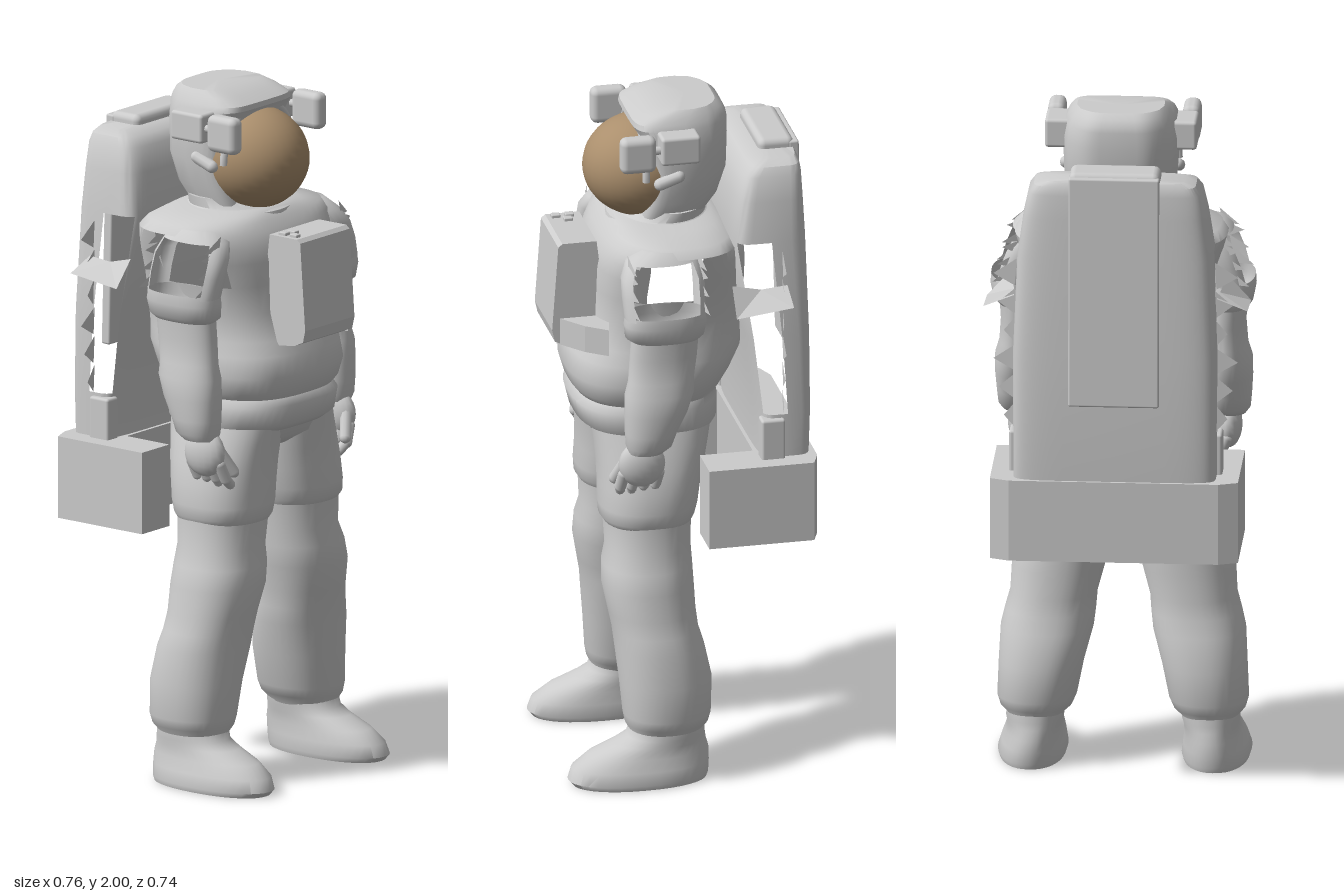
import * as THREE from 'three';
import { toCreasedNormals } from 'three/addons/utils/BufferGeometryUtils.js';
import { RoundedBoxGeometry } from 'three/addons/geometries/RoundedBoxGeometry.js';

const mat = (name, color, extra = {}) => {
  const m = new THREE.MeshStandardMaterial({ color, ...extra });
  m.name = name;
  return m;
};

// Loft of horizontal superellipse rings. Rows rise: [y, centreX, radiusX, zBack, zFront].
// skip(y, xNorm, zNorm) leaves a face out; backTaper narrows the rear of each ring.
function loft(rows, { side = 1, power = 2.4, n = 36, bottom = true, top = true, skip = null, crease = 0.9, backTaper = 0 } = {}) {
  const pos = [], idx = [], unit = [];
  const e = 2 / power;
  for (let i = 0; i < n; i++) {
    const a = (i / n) * Math.PI * 2, c = Math.cos(a), s = Math.sin(a);
    const v = Math.sign(s) * Math.abs(s) ** e;
    unit.push([Math.sign(c) * Math.abs(c) ** e * (1 - backTaper * Math.max(0, -v - 0.3)), v]);
  }
  for (const [y, cx, rx, zb, zf] of rows)
    for (const [u, v] of unit) pos.push(cx * side + u * rx, y, (zb + zf) / 2 + (v * (zf - zb)) / 2);
  for (let r = 0; r < rows.length - 1; r++)
    for (let i = 0; i < n; i++) {
      const j = (i + 1) % n, p = r * n + i, q = r * n + j;
      const mid = (rows[r][0] + rows[r + 1][0]) / 2;
      if (skip && skip(mid, (unit[i][0] + unit[j][0]) / 2, (unit[i][1] + unit[j][1]) / 2)) continue;
      idx.push(p, p + n, q, q, p + n, q + n);
    }
  const cap = (r, up) => {
    const [y, cx, , zb, zf] = rows[r], c = pos.length / 3;
    pos.push(cx * side, y, (zb + zf) / 2);
    for (let i = 0; i < n; i++) {
      const p = r * n + i, q = r * n + ((i + 1) % n);
      idx.push(c, up ? q : p, up ? p : q);
    }
  };
  if (bottom) cap(0, false);
  if (top) cap(rows.length - 1, true);
  const g = new THREE.BufferGeometry();
  g.setAttribute('position', new THREE.Float32BufferAttribute(pos, 3));
  g.setIndex(idx);
  return toCreasedNormals(g, crease);
}

// Extrusion of a 2D outline along z
const prism = (pts, depth) => new THREE.ExtrudeGeometry(
  new THREE.Shape(pts.map(p => new THREE.Vector2(...p))), { depth, bevelEnabled: false });

export function createModel() {
  const model = new THREE.Group();
  model.name = 'astronaut';
  const suit = mat('suit grey', 0xcccccc);
  const torn = mat('torn suit grey', 0xcccccc, { side: THREE.DoubleSide });
  const gold = mat('visor bronze', 0xab8f6d);

  const add = (name, geo, material = suit, x = 0, y = 0, z = 0) => {
    const m = new THREE.Mesh(geo, material);
    m.name = name;
    m.position.set(x, y, z);
    model.add(m);
    return m;
  };
  const box = (name, w, h, d, x, y, z, r = 0.01) =>
    add(name, new RoundedBoxGeometry(w, h, d, 2, r), suit, x, y, z);
  const rod = (name, a, b, r) => {
    const from = new THREE.Vector3(...a), to = new THREE.Vector3(...b);
    const dir = to.clone().sub(from);
    const m = add(name, new THREE.CapsuleGeometry(r, dir.length(), 4, 10), suit, ...from.add(to).multiplyScalar(0.5).toArray());
    m.quaternion.setFromUnitVectors(new THREE.Vector3(0, 1, 0), dir.normalize());
  };

  // Torso with open arm holes
  add('torso', loft([
    [1.03, 0, 0.22, -0.11, 0.26], [1.05, 0, 0.236, -0.12, 0.285], [1.11, 0, 0.232, -0.12, 0.3],
    [1.13, 0, 0.222, -0.12, 0.285], [1.15, 0, 0.238, -0.13, 0.3], [1.2, 0, 0.25, -0.16, 0.315],
    [1.26, 0, 0.247, -0.19, 0.305], [1.3, 0, 0.235, -0.195, 0.28], [1.38, 0, 0.238, -0.2, 0.255],
    [1.46, 0, 0.255, -0.2, 0.25], [1.53, 0, 0.28, -0.2, 0.245], [1.575, 0, 0.295, -0.195, 0.235],
    [1.61, 0, 0.305, -0.185, 0.215], [1.635, 0, 0.285, -0.16, 0.195], [1.65, 0, 0.19, -0.13, 0.18],
    [1.66, 0, 0.15, -0.11, 0.165],
  ], { power: 2.7, n: 48, skip: (y, u, v) => y > 1.46 && y < 1.61 && Math.abs(u) > 0.82 && v > -0.2 && v < (y > 1.58 ? 0.55 : 0.75) }));

  // Hips
  add('hips', loft([
    [0.965, 0, 0.21, -0.06, 0.19], [1.0, 0, 0.24, -0.09, 0.24], [1.05, 0, 0.23, -0.11, 0.26],
  ], { power: 2.6 }));

  // Helmet, neck ring, visor and brow
  add('neckRing', loft([
    [1.635, 0, 0.165, -0.12, 0.19], [1.652, 0, 0.165, -0.12, 0.185], [1.662, 0, 0.15, -0.1, 0.15],
    [1.69, 0, 0.15, -0.1, 0.12],
  ], { power: 2 }));
  add('helmet', loft([
    [1.67, 0, 0.135, -0.09, 0.11], [1.72, 0, 0.15, -0.125, 0.1], [1.8, 0, 0.162, -0.15, 0.085],
    [1.9, 0, 0.166, -0.153, 0.1], [1.95, 0, 0.16, -0.153, 0.132], [1.965, 0, 0.152, -0.15, 0.13],
    [1.985, 0, 0.14, -0.14, 0.09], [2.0, 0, 0.125, -0.12, 0.04],
  ], { power: 5, crease: 0.6, backTaper: 0.5 }));
  add('visor', new THREE.SphereGeometry(1, 32, 24), gold, 0, 1.794, 0.087).scale.set(0.154, 0.15, 0.167);
  add('visorRim', new THREE.TorusGeometry(0.157, 0.011, 8, 36, Math.PI), suit, 0, 1.8, 0.105);

  // Chest control box, its side wedge and switches
  const chest = add('chestBox', prism([[-0.24, 1.61], [-0.34, 1.61], [-0.352, 1.6], [-0.37, 1.345],
    [-0.362, 1.31], [-0.33, 1.295], [-0.2, 1.28]].reverse(), 0.225), suit, -0.115, 0, 0);
  chest.rotation.y = Math.PI / 2;
  const wedge = add('chestBoxWedge', prism([[0.1, -0.355], [0.18, -0.29], [0.225, -0.23], [0.1, -0.2]].reverse(), 0.08), suit, 0, 1.3, 0);
  wedge.rotation.x = -Math.PI / 2;
  for (const [x, z] of [[-0.092, 0.275], [-0.092, 0.315], [-0.062, 0.285]])
    box('chestSwitch', 0.022, 0.014, 0.026, x, 1.612, z, 0.003);

  // Backpack shell with torn-open sides
  add('backpack', loft([
    [0.95, 0, 0.29, -0.355, -0.2], [1.1, 0, 0.29, -0.36, -0.2], [1.33, 0, 0.292, -0.358, -0.17],
    [1.63, 0, 0.28, -0.35, -0.12], [1.75, 0, 0.263, -0.345, -0.142], [1.82, 0, 0.248, -0.342, -0.16],
    [1.845, 0, 0.232, -0.338, -0.185], [1.858, 0, 0.2, -0.33, -0.22],
  ], { power: 6, n: 48, crease: 0.6, skip: (y, u, v) => y > 1.1 && y < 1.63 && Math.abs(u) > 0.85 && v > 0 && v < 0.85 }));
  box('backpackPanel', 0.26, 0.68, 0.03, 0, 1.535, -0.342, 0.006).rotation.x = 0.025;
  box('backpackTop', 0.26, 0.06, 0.105, 0, 1.856, -0.283, 0.02);

  // Lower pack: U-shaped block with chamfered rear corners and two forward arms
  const half = [[0.23, 0.19], [0.23, 0.035], [0.355, 0.035], [0.355, 0.342], [0.3, 0.363]];
  const lower = add('lowerPack', prism([...half, ...half.map(([x, y]) => [-x, y]).reverse()], 0.24), suit, 0, 0.73, 0);
  lower.rotation.x = -Math.PI / 2;

  for (const s of [1, -1]) {
    box('packStrut', 0.05, 0.14, 0.07, s * 0.28, 1.02, -0.235, 0.008);

    // Ear blocks, lamps and visor pivots
    box('earBlock', 0.075, 0.085, 0.115, s * 0.18, 1.91, 0.015);
    box('lamp', 0.05, 0.108, 0.105, s * 0.193, 1.903, 0.138, 0.02);
    rod('lampStem', [s * 0.193, 1.91, 0.06], [s * 0.193, 1.91, 0.1], 0.012);
    rod('visorPivot', [s * 0.16, 1.79, 0.065], [s * 0.16, 1.81, 0.01], 0.018);

    // Legs
    add('shortsLeg', loft([
      [0.77, 0.157, 0.126, -0.022, 0.232], [0.785, 0.158, 0.134, -0.03, 0.242], [0.82, 0.154, 0.14, -0.04, 0.245],
      [0.88, 0.146, 0.142, -0.05, 0.243], [0.94, 0.135, 0.138, -0.065, 0.245], [1.0, 0.122, 0.13, -0.08, 0.25],
      [1.05, 0.112, 0.122, -0.09, 0.255],
    ], { side: s, power: 2.3 }));
    add('leg', loft([
      [0.12, 0.25, 0.076, -0.03, 0.17], [0.15, 0.25, 0.083, -0.035, 0.175], [0.172, 0.248, 0.104, -0.052, 0.187],
      [0.2, 0.246, 0.114, -0.06, 0.192], [0.3, 0.234, 0.122, -0.065, 0.2], [0.4, 0.218, 0.133, -0.045, 0.21],
      [0.45, 0.209, 0.13, -0.03, 0.215], [0.5, 0.2, 0.125, -0.025, 0.225], [0.58, 0.187, 0.134, -0.022, 0.24],
      [0.64, 0.176, 0.13, -0.02, 0.238], [0.69, 0.166, 0.122, -0.018, 0.226], [0.8, 0.158, 0.128, -0.022, 0.232],
    ], { side: s, power: 2.2 }));
    add('boot', loft([
      [0, 0.263, 0.095, -0.045, 0.345], [0.015, 0.263, 0.1, -0.05, 0.358], [0.05, 0.26, 0.092, -0.053, 0.347],
      [0.085, 0.256, 0.084, -0.053, 0.3], [0.115, 0.253, 0.08, -0.045, 0.225], [0.135, 0.252, 0.083, -0.042, 0.185],
      [0.17, 0.25, 0.083, -0.04, 0.175],
    ], { side: s, power: 2.2 }));

    // Arm, open at the torn shoulder
    add('arm', loft([
      [1.03, 0.303, 0.045, 0.09, 0.19], [1.05, 0.305, 0.056, 0.065, 0.197], [1.09, 0.305, 0.06, 0.05, 0.2],
      [1.15, 0.305, 0.064, 0.02, 0.202], [1.21, 0.304, 0.064, 0, 0.2], [1.25, 0.301, 0.055, 0, 0.19],
      [1.32, 0.298, 0.053, -0.01, 0.185], [1.39, 0.3, 0.055, -0.015, 0.18],
    ], { side: s, power: 2.2, top: false }));
    add('sleeveCuff', loft([
      [1.375, 0.305, 0.052, -0.015, 0.18], [1.39, 0.308, 0.064, -0.028, 0.2], [1.43, 0.312, 0.068, -0.035, 0.205],
      [1.46, 0.312, 0.066, -0.03, 0.2],
    ], { side: s, bottom: false, top: false }), torn);

    // Front and back of the torn shoulder, bridging torso and sleeve
    add('shoulder', loft([
      [1.45, 0.312, 0.067, -0.032, 0.203], [1.51, 0.295, 0.068, -0.035, 0.207], [1.56, 0.275, 0.068, -0.035, 0.205],
      [1.6, 0.25, 0.066, -0.02, 0.185], [1.63, 0.23, 0.06, 0.02, 0.14],
    ], { side: s, bottom: false, skip: (y, u) => Math.abs(u) > 0.72 && y < 1.6 }), torn);

    // Glove
    add('palm', new THREE.SphereGeometry(1, 18, 12), suit, s * 0.298, 0.99, 0.15).scale.set(0.038, 0.07, 0.068);
    for (let i = 0; i < 4; i++) {
      const z = 0.1 + i * 0.034, drop = i % 3 ? 0 : 0.012;
      rod('finger', [s * 0.295, 0.96, z], [s * 0.275, 0.915, z + 0.006], 0.017);
      rod('fingertip', [s * 0.275, 0.915, z + 0.006], [s * 0.248, 0.882 + drop, z], 0.015);
    }
    rod('thumb', [s * 0.29, 1.0, 0.195], [s * 0.255, 0.935, 0.22], 0.017);

    // Torn shards around the shoulder and down the pack side
    const tri = [];
    const shard = (...pts) => pts.forEach(([x, y, z]) => tri.push(x * s, y, z));
    for (let i = 0; i < 4; i++) {
      const y = 1.46 + i * 0.04, x = 0.34 - i * 0.014;
      for (const z of [0.185, -0.02])
        shard([x - 0.02, y, z], [x - 0.03, y + 0.045, z], [x + 0.028, y + 0.012 * (i % 3), z - 0.015]);
    }
    for (let i = 0; i < 6; i++) {
      const y = 1.1 + i * 0.085, out = 0.32 + 0.015 * (i % 3);
      shard([0.289, y, -0.265], [0.284, y + 0.08, -0.265], [out, y + 0.035, -0.262]);
    }
    // Flap folded out of the pack side
    const root = [0.295, 1.495, -0.2], outerBack = [0.378, 1.465, -0.278], outerFront = [0.378, 1.445, -0.11];
    shard([0.29, 1.5, -0.278], outerBack, root);
    shard(outerBack, outerFront, root);
    shard(outerFront, [0.31, 1.52, -0.112], root);
    const g = new THREE.BufferGeometry();
    g.setAttribute('position', new THREE.Float32BufferAttribute(tri, 3));
    g.computeVertexNormals();
    add('tornShards', g, torn);
  }
  return model;
}
